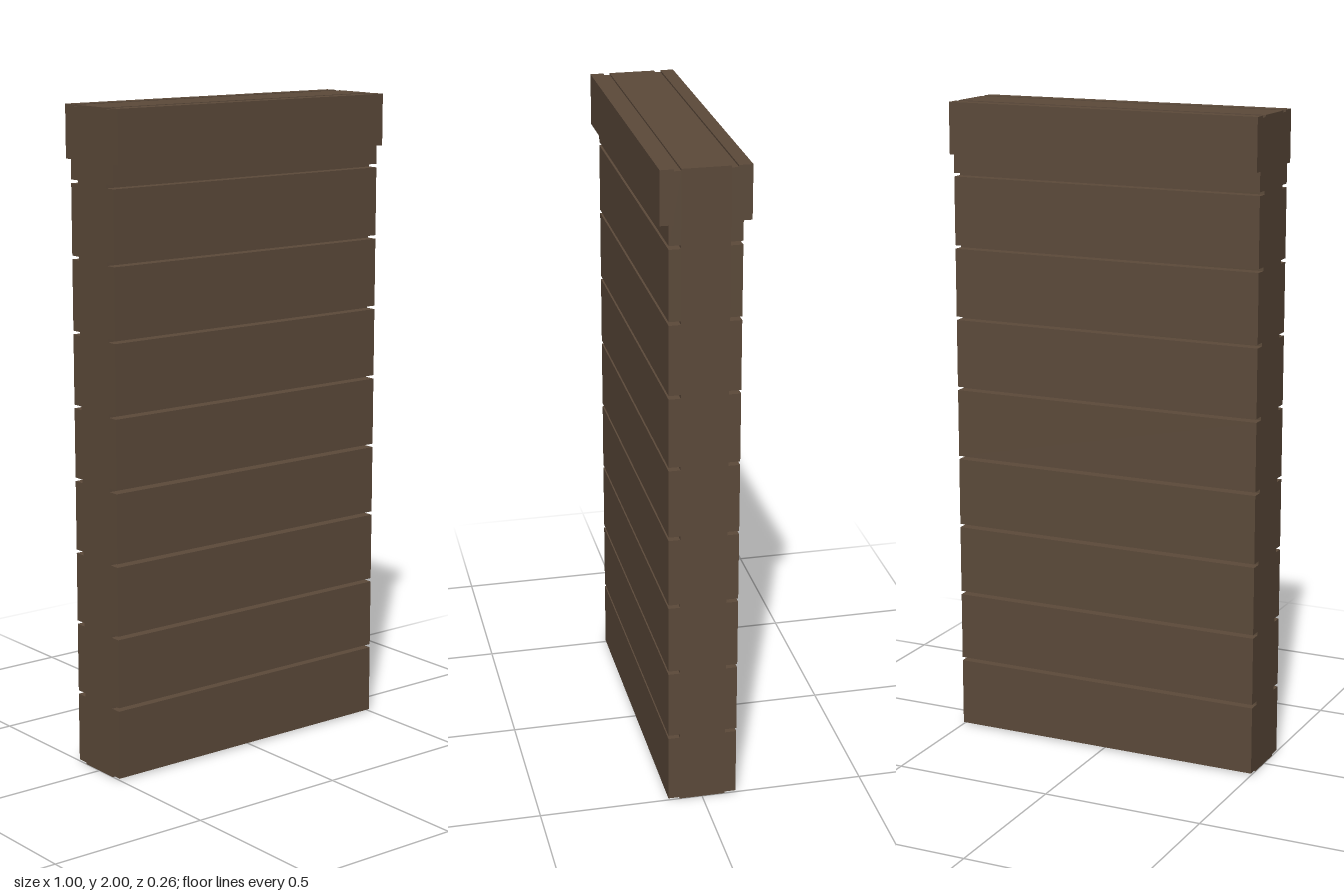
import * as THREE from 'three';

export function createModel() {
  const model = new THREE.Group();
  model.name = 'plankWall';
  const wood = new THREE.MeshStandardMaterial({ color: 0x5c4a3a });
  wood.name = 'darkWood';

  const WIDTH = 1, HEIGHT = 2, ROWS = 9, GAP = 0.011;
  const CORE_Z = 0.07, PLANK_Z = 0.105, RAIL_IN = 0.09, RAIL_OUT = 0.13, RAIL_Y = 1.842;

  // Full-width board spanning y0..y1 and z0..z1
  function board(name, y0, y1, z0, z1, parent) {
    const mesh = new THREE.Mesh(new THREE.BoxGeometry(WIDTH, y1 - y0, z1 - z0), wood);
    mesh.position.set(0, (y0 + y1) / 2, (z0 + z1) / 2);
    mesh.name = name;
    parent.add(mesh);
  }

  // Solid core behind the plank gaps
  board('core', 0, HEIGHT, -CORE_Z, CORE_Z, model);

  // Planks and top rail on both faces
  for (const side of [1, -1]) {
    const face = new THREE.Group();
    face.name = side > 0 ? 'frontFace' : 'backFace';
    if (side < 0) face.rotation.y = Math.PI;
    const pitch = HEIGHT / ROWS;
    for (let i = 0; i < ROWS; i++) {
      board('plank', i * pitch + GAP / 2, (i + 1) * pitch - GAP / 2, CORE_Z, PLANK_Z, face);
    }
    board('topRail', RAIL_Y, HEIGHT, RAIL_IN, RAIL_OUT, face);
    model.add(face);
  }
  return model;
}
